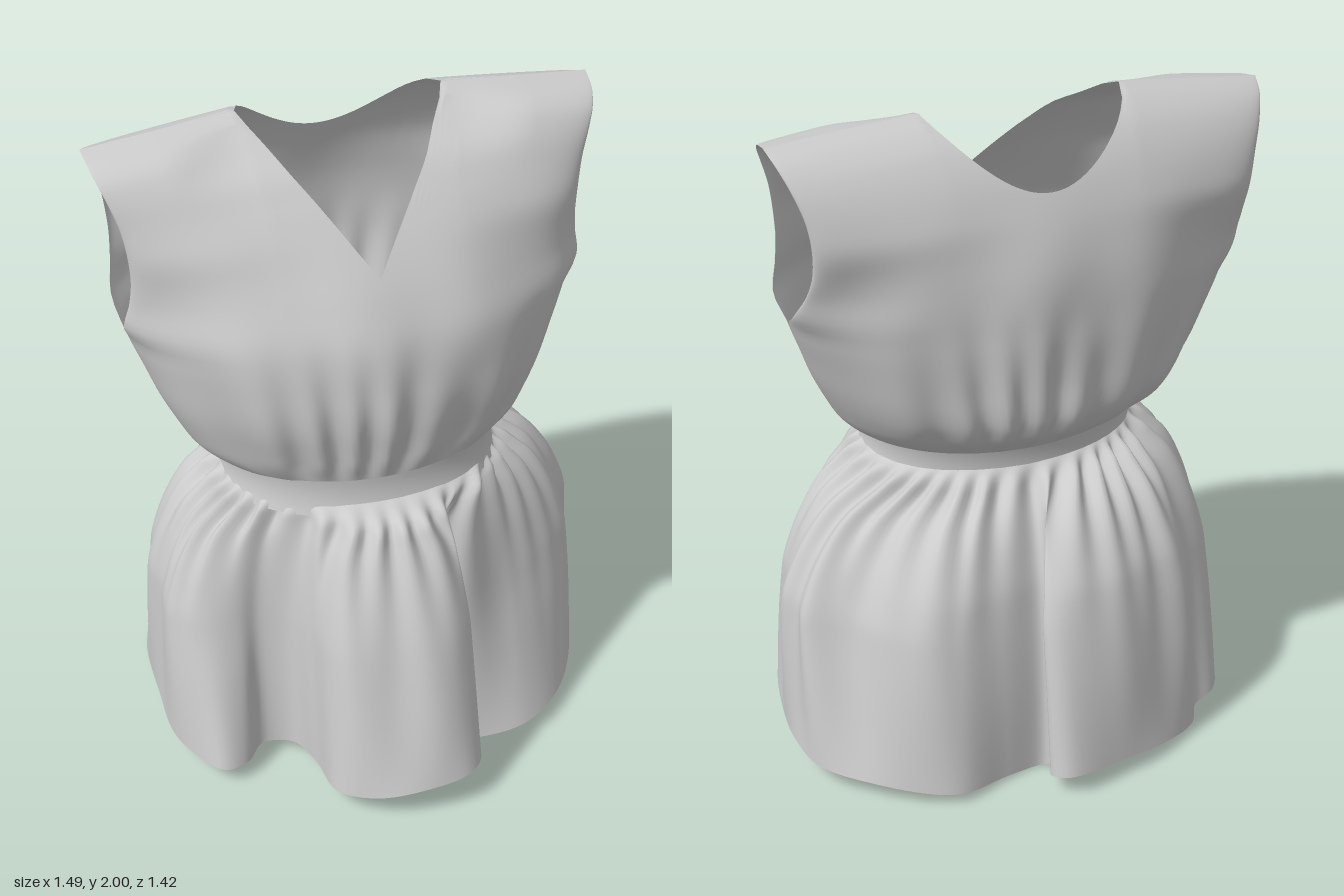
import * as THREE from 'three';

const { clamp, lerp, smoothstep } = THREE.MathUtils;

// Smooth interpolation through [position, value] pairs
function curve(pts) {
  const slope = (i) => {
    const a = pts[Math.max(i - 1, 0)], b = pts[Math.min(i + 1, pts.length - 1)];
    return (b[1] - a[1]) / (b[0] - a[0]);
  };
  return (p) => {
    p = clamp(p, pts[0][0], pts[pts.length - 1][0]);
    let i = 0;
    while (i < pts.length - 2 && p > pts[i + 1][0]) i++;
    const [x0, y0] = pts[i], [x1, y1] = pts[i + 1];
    const h = x1 - x0, s = (p - x0) / h, s2 = s * s, s3 = s2 * s;
    return y0 * (2 * s3 - 3 * s2 + 1) + y1 * (3 * s2 - 2 * s3)
      + h * (slope(i) * (s3 - 2 * s2 + s) + slope(i + 1) * (s3 - s2));
  };
}

// Cloth grid: fn(u, v) gives [x, y, z], v runs downwards
function cloth(name, cols, rows, closed, fn) {
  const pos = [], index = [];
  const n = closed ? cols : cols + 1;
  for (let r = 0; r <= rows; r++)
    for (let c = 0; c < n; c++) pos.push(...fn(c / cols, r / rows));
  for (let r = 0; r < rows; r++)
    for (let c = 0; c < cols; c++) {
      const a = r * n + c, d = r * n + (c + 1) % n;
      index.push(a, a + n, d, d, a + n, d + n);
    }
  const geo = new THREE.BufferGeometry();
  geo.setAttribute('position', new THREE.Float32BufferAttribute(pos, 3));
  geo.setIndex(index);
  geo.computeVertexNormals();
  const mesh = new THREE.Mesh(geo, new THREE.MeshStandardMaterial({ color: 0xcccccc, side: THREE.DoubleSide }));
  mesh.name = name;
  return mesh;
}

const roundCos = (a) => Math.sign(Math.cos(a)) * Math.abs(Math.cos(a)) ** 0.9;

// Bodice profiles by height: half width, centre depth, side line and armhole edge depth
const halfWidth = curve([[0.97, 0.41], [0.995, 0.455], [1.04, 0.505], [1.1, 0.54], [1.2, 0.588], [1.3, 0.625], [1.4, 0.662],
  [1.48, 0.683], [1.57, 0.667], [1.66, 0.66], [1.8, 0.675], [1.9, 0.705], [2, 0.745]]);
const frontZ = curve([[0.97, 0.3], [1.02, 0.31], [1.1, 0.33], [1.2, 0.35], [1.3, 0.352], [1.45, 0.33], [1.57, 0.275],
  [1.68, 0.205], [1.82, 0.1], [1.93, 0.015], [1.98, -0.055], [2, -0.165]]);
const backZ = curve([[0.97, -0.31], [1.01, -0.355], [1.06, -0.405], [1.13, -0.445], [1.25, -0.46], [1.4, -0.465],
  [1.6, -0.45], [1.8, -0.385], [1.92, -0.31], [1.98, -0.23], [2, -0.165]]);
const sideLine = curve([[0.97, 0], [1.2, -0.04], [1.42, -0.08], [1.7, -0.13], [2, -0.165]]);
const frontEdge = curve([[1.42, -0.08], [1.46, -0.02], [1.52, 0.005], [1.65, 0.02], [1.8, 0.01], [1.93, -0.03],
  [1.98, -0.09], [2, -0.165]]);
const backEdge = curve([[1.42, -0.08], [1.46, -0.15], [1.52, -0.21], [1.62, -0.27], [1.75, -0.3], [1.87, -0.28],
  [1.96, -0.225], [2, -0.165]]);
// Lean back of the front neckline near the shoulder seam
const neckLean = curve([[1.8, 0], [1.88, -0.015], [1.94, -0.06], [1.975, -0.065], [2, -0.01]]);

// One bodice panel; side is 1 for front, -1 for back
function bodicePanel(name, side) {
  const centre = side > 0 ? frontZ : backZ, armhole = side > 0 ? frontEdge : backEdge;
  return cloth(name, 120, 64, false, (u, v) => {
    const a = side * (u - 0.5) * Math.PI, s = Math.sin(a), ax = Math.abs(s) * 0.735;
    const shoulder = 2 - Math.max(0, ax - 0.3) * (s < 0 ? 0.12 : 0.07);
    // V neck in front, round neck behind
    const neck = side > 0 ? 1.63 + 1.23 * ax : 1.8 + 0.2 * (ax / 0.3) ** 2;
    const top = Math.min(shoulder, neck);
    const y = lerp(0.97, top, 0.5 + 0.5 * Math.cos(Math.PI * v));
    const yn = 0.97 + (y - 0.97) * 1.03 / (shoulder - 0.97);
    const bulge = Math.max(0, Math.cos(a)) ** (side > 0 ? 1.1 : 0.95);
    // The armhole opens the side line, reaching further inwards near the shoulder
    const opening = yn > 1.42 ? armhole(yn) - sideLine(yn) : 0;
    const reach = (1 - bulge) ** lerp(3, 1, smoothstep(yn, 1.42, 1.75));
    const lean = side > 0 ? neckLean(yn) * (1 - smoothstep(ax, 0.3, 0.55)) : 0;
    // Gathers rising from the waist
    const fade = smoothstep(y, 0.97, 1.08) * (1 - smoothstep(y, 1.1, 1.55)) * bulge;
    const long = smoothstep(y, 1, 1.25) * (1 - smoothstep(y, 1.4, 1.9)) * bulge;
    const fold = 0.014 * fade * Math.sin(26 * s + 2 * Math.sin(5 * s + side))
      + 0.008 * long * Math.sin(12 * s + side * 1.3 + 3 * (y - 1));
    return [s * halfWidth(yn), y, lerp(sideLine(yn), centre(yn), bulge) + opening * reach + lean + side * fold];
  });
}

// Folded hem outline: x, y, z, from the front centre round by the left side
const hemPoints = [
  [0, 0.11, 0.71], [0.15, 0.12, 0.69], [0.21, 0.12, 0.62], [0.16, 0.1, 0.5], [0.08, 0.08, 0.42], [0.09, 0.06, 0.46],
  [0.2, 0.055, 0.48], [0.4, 0.055, 0.47], [0.55, 0.06, 0.37], [0.66, 0.065, 0.2], [0.72, 0.07, 0], [0.745, 0.07, -0.2],
  [0.72, 0.065, -0.35], [0.6, 0.055, -0.48], [0.45, 0.04, -0.58], [0.36, 0.03, -0.6], [0.2, 0.01, -0.55], [0.07, 0, -0.53],
  [0.06, 0.02, -0.58], [0.11, 0.06, -0.66], [0.07, 0.07, -0.705], [-0.1, 0.06, -0.68], [-0.28, 0.04, -0.63],
  [-0.42, 0.02, -0.55], [-0.48, 0.015, -0.46], [-0.57, 0.02, -0.41], [-0.63, 0.035, -0.28], [-0.65, 0.055, 0],
  [-0.65, 0.065, 0.2], [-0.61, 0.065, 0.31], [-0.54, 0.06, 0.4], [-0.46, 0.055, 0.38], [-0.39, 0.045, 0.3],
  [-0.3, 0.04, 0.32], [-0.26, 0.055, 0.44], [-0.24, 0.075, 0.6], [-0.14, 0.09, 0.68],
];

function buildSkirt() {
  const hem = new THREE.CatmullRomCurve3(hemPoints.map((p) => new THREE.Vector3(...p)), true);
  hem.arcLengthDivisions = 1000;
  const cols = 300, line = hem.getSpacedPoints(cols);
  // How far each height has spread from waist to hem: sideways, and in depth at the front, back and corners
  const spreadSide = curve([[0, 0], [0.06, 0.2], [0.14, 0.5], [0.25, 0.72], [0.37, 0.87], [0.48, 0.95], [1, 1]]);
  const spreadFront = curve([[0, 0], [0.03, 0.22], [0.1, 0.34], [0.37, 0.6], [0.65, 0.79], [1, 1]]);
  const spreadBack = curve([[0, 0], [0.06, 0.18], [0.15, 0.41], [0.25, 0.58], [0.37, 0.72], [0.65, 0.88], [1, 1]]);
  const spreadCorner = curve([[0, 0], [0.06, 0.09], [0.2, 0.2], [0.49, 0.42], [0.7, 0.65], [1, 1]]);
  return cloth('skirt', cols, 48, true, (u, v) => {
    const h = line[Math.round(u * cols)], a = u * 2 * Math.PI;
    const t = v ** 1.4, hx = Math.abs(h.x);
    const front = lerp(spreadFront(t), spreadCorner(t), smoothstep(hx, 0.18, 0.4));
    const back = lerp(spreadBack(t), spreadCorner(t), smoothstep(hx, 0.4, 0.68));
    const fz = lerp(back, front, smoothstep(h.z, -0.15, 0.15));
    // Tight gathers under the band, softer folds below
    const gather = 0.05 * smoothstep(t, 0, 0.06) * Math.exp(-6 * t) * Math.sin(34 * a + 1.8 * Math.sin(5 * a));
    const soft = 0.018 * 4 * t * (1 - t) * Math.sin(15 * a + 2 * Math.sin(3 * a));
    const k = 1 + gather + soft;
    return [
      k * lerp(0.41 * Math.sin(a), h.x, spreadSide(t)),
      lerp(0.92, h.y, t) + 0.25 * gather,
      k * lerp(0.305 * roundCos(a), h.z, fz),
    ];
  });
}

export function createModel() {
  const dress = new THREE.Group();
  dress.name = 'dress';
  dress.add(bodicePanel('bodiceFront', 1), bodicePanel('bodiceBack', -1));

  // Waistband, slightly hollow and tilted towards the back at its top
  dress.add(cloth('waistband', 96, 8, true, (u, v) => {
    const a = u * 2 * Math.PI, k = 1 + 0.02 * (2 * v - 1) ** 2;
    return [0.415 * k * Math.sin(a), lerp(1.0, 0.885, v), 0.31 * k * roundCos(a) + lerp(-0.008, 0.008, v)];
  }));

  dress.add(buildSkirt());
  return dress;
}
